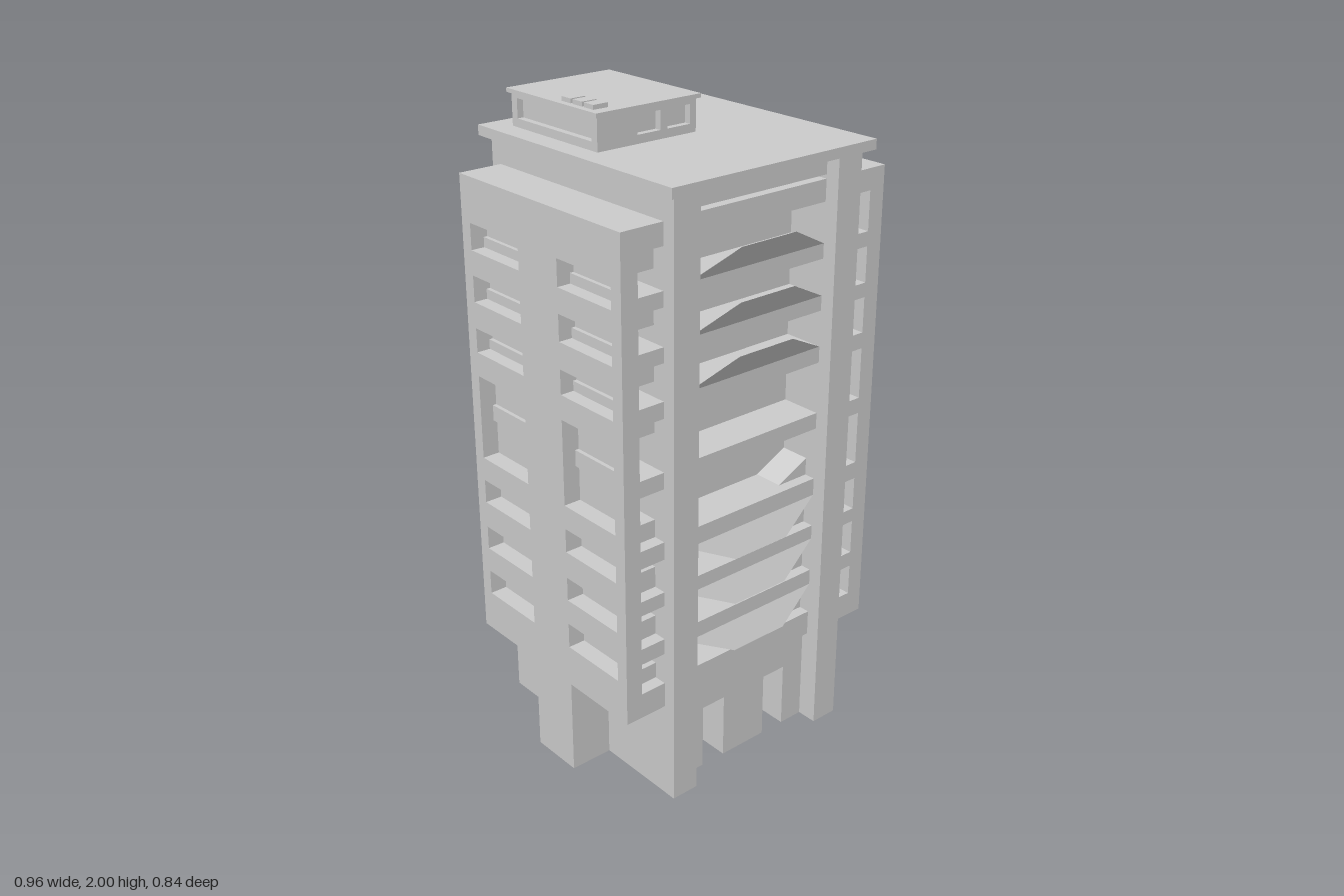
import * as THREE from 'three';

const mat = new THREE.MeshStandardMaterial({ color: 0xcccccc, flatShading: true, side: THREE.DoubleSide });

function add(parent, name, geo) {
  const mesh = new THREE.Mesh(geo, mat);
  mesh.name = name;
  parent.add(mesh);
}

// Box from its limits; an open box has no bottom face
function box(parent, name, x0, x1, y0, y1, z0, z1, open = false) {
  const geo = new THREE.BoxGeometry(x1 - x0, y1 - y0, z1 - z0);
  geo.translate((x0 + x1) / 2, (y0 + y1) / 2, (z0 + z1) / 2);
  if (open) {
    const idx = Array.from(geo.index.array);
    idx.splice(18, 6);
    geo.setIndex(idx);
    geo.clearGroups();
  }
  add(parent, name, geo);
}

function rect(Type, a0, a1, b0, b1) {
  const s = new Type();
  s.moveTo(a0, b0);
  s.lineTo(a1, b0);
  s.lineTo(a1, b1);
  s.lineTo(a0, b1);
  s.closePath();
  return s;
}

// Wall with rectangular openings, drawn in (horizontal, y) and extruded
function wallGeometry(outer, holes, depth) {
  const s = rect(THREE.Shape, ...outer);
  holes.forEach(h => s.holes.push(rect(THREE.Path, ...h)));
  return new THREE.ExtrudeGeometry(s, { depth, bevelEnabled: false });
}

// Floor bands, [bottom, top]
const floors = [[0.31, 0.39], [0.49, 0.54], [0.65, 0.695], [0.80, 0.855], [1.02, 1.07],
  [1.23, 1.28], [1.39, 1.435], [1.545, 1.59], [1.71, 1.775]];
// Side window heights
const windows = [[0.44, 0.52], [0.60, 0.675], [0.76, 0.835], [0.91, 1.175],
  [1.25, 1.325], [1.405, 1.485], [1.56, 1.64]];

// Side wing, built on +x and turned for the other side
function sideWing(name) {
  const g = new THREE.Group();
  g.name = name;
  box(g, 'sideWallAndColumns', 0.25, 0.34, 0, 1.85, -0.395, 0.395, true);
  box(g, 'sidePilaster', 0.34, 0.478, 0, 1.765, -0.087, 0.087, true);
  const holes = [];
  for (const [b, t] of windows) holes.push([0.087, 0.315, b, t], [-0.315, -0.087, b, t]);
  const outer = wallGeometry([-0.355, 0.355, 0.31, 1.775], holes, 0.055);
  outer.rotateY(-Math.PI / 2);
  outer.translate(0.48, 0, 0);
  add(g, 'windowWall', outer);
  // Panes behind the windows, with the slab edges standing proud of them
  box(g, 'windowPanes', 0.42, 0.425, 0.39, 1.71, -0.316, 0.316);
  floors.forEach(([b, t]) => {
    box(g, 'wingSlab', 0.34, 0.425, b, t, -0.355, 0.355);
    box(g, 'slabEdge', 0.425, 0.437, b, t, -0.32, 0.32);
  });
  // Raised floors reach the lower sills, dropped ceilings the upper lintels
  for (let i = 0; i < 4; i++) {
    box(g, 'raisedFloor', 0.34, 0.42, floors[i][1], windows[i][0], -0.315, 0.315);
    box(g, 'droppedCeiling', 0.34, 0.42, windows[i + 3][1], floors[i + 5][0], -0.315, 0.315);
  }
  return g;
}

// Sloped trapezoid panel between slab edge (wide) and its outer lip (narrow)
function slopedPanel(parent, yWide, yNarrow) {
  const geo = new THREE.BufferGeometry();
  geo.setAttribute('position', new THREE.Float32BufferAttribute([
    -0.25, yWide, 0.35, 0.25, yWide, 0.35, 0.1, yNarrow, 0.39, -0.1, yNarrow, 0.39], 3));
  geo.setIndex(yNarrow > yWide ? [0, 1, 2, 0, 2, 3] : [0, 2, 1, 0, 3, 2]);
  geo.computeVertexNormals();
  add(parent, 'slopedPanel', geo);
}

// Balcony front, built on +z and turned for the back
function facade(name) {
  const g = new THREE.Group();
  g.name = name;
  floors.forEach(([b, t]) => box(g, 'balconySlab', -0.25, 0.25, b, t, 0.22, 0.35));
  [1, 2, 3].forEach(i => slopedPanel(g, floors[i][0], floors[i][0] - 0.073));
  [5, 6, 7].forEach(i => slopedPanel(g, floors[i][1], floors[i][1] + 0.075));
  return g;
}

// Triangular wedge lying against a slab and the side wall, front and back
function wedge(parent, x, y, dx, dy) {
  for (const z of [0.22, -0.315]) {
    const s = new THREE.Shape([new THREE.Vector2(x, y), new THREE.Vector2(x + dx, y), new THREE.Vector2(x, y + dy)]);
    const geo = new THREE.ExtrudeGeometry(s, { depth: 0.095, bevelEnabled: false });
    geo.translate(0, 0, z);
    add(parent, 'slabWedge', geo);
  }
}

// Roof house with its windows, cap and vents
function roofHouse() {
  const g = new THREE.Group();
  g.name = 'roofHouse';
  box(g, 'roofHouseCore', -0.28, 0.025, 1.88, 1.975, -0.345, 0.02);
  const front = wallGeometry([-0.3, 0.045, 1.88, 1.975],
    [[-0.163, -0.083, 1.905, 1.96], [-0.057, 0.023, 1.905, 1.96]], 0.02);
  front.translate(0, 0, 0.02);
  add(g, 'roofHouseFront', front);
  for (const x of [-0.28, 0.045]) {
    const side = wallGeometry([-0.345, 0.02, 1.88, 1.975], [[-0.32, 0.015, 1.905, 1.962]], 0.02);
    side.rotateY(-Math.PI / 2);
    side.translate(x, 0, 0);
    add(g, 'roofHouseSide', side);
  }
  box(g, 'roofHouseCap', -0.31, 0.055, 1.975, 1.987, -0.355, 0.05);
  for (const z of [-0.125, -0.076, -0.027]) box(g, 'roofVent', -0.29, -0.24, 1.987, 2, z, z + 0.04);
  return g;
}

export function createModel() {
  const model = new THREE.Group();
  model.name = 'towerBlock';

  // Wings and balcony fronts
  const wing = sideWing('leftWing');
  const otherWing = sideWing('rightWing');
  otherWing.rotation.y = Math.PI;
  const front = facade('frontBalconies');
  const back = facade('backBalconies');
  back.rotation.y = Math.PI;
  model.add(wing, otherWing, front, back);

  // Hollow core
  box(model, 'core', -0.25, 0.25, 0, 1.775, -0.22, 0.22, true);

  // Ground floor, with two doorways in front
  box(model, 'backBaseWall', -0.25, 0.25, 0, 0.31, -0.35, -0.22, true);
  for (const [a, b] of [[-0.25, -0.168], [-0.083, 0.083], [0.168, 0.25]])
    box(model, 'frontBaseWall', a, b, 0, 0.21, 0.22, 0.33, true);
  box(model, 'doorLintel', -0.25, 0.25, 0.21, 0.31, 0.22, 0.33);

  // Wedges on the lower slabs and under the upper ones
  [0, 1, 2, 3].forEach(i => wedge(model, 0.25, floors[i][1], -0.11, 0.055));
  [5, 6, 7, 8].forEach(i => wedge(model, -0.25, floors[i][0], 0.12, -0.06));

  // Roof
  box(model, 'roofBeam', -0.25, 0.25, 1.787, 1.85, -0.35, 0.35);
  box(model, 'roofSlab', -0.367, 0.367, 1.85, 1.88, -0.42, 0.42);
  model.add(roofHouse());
  return model;
}
